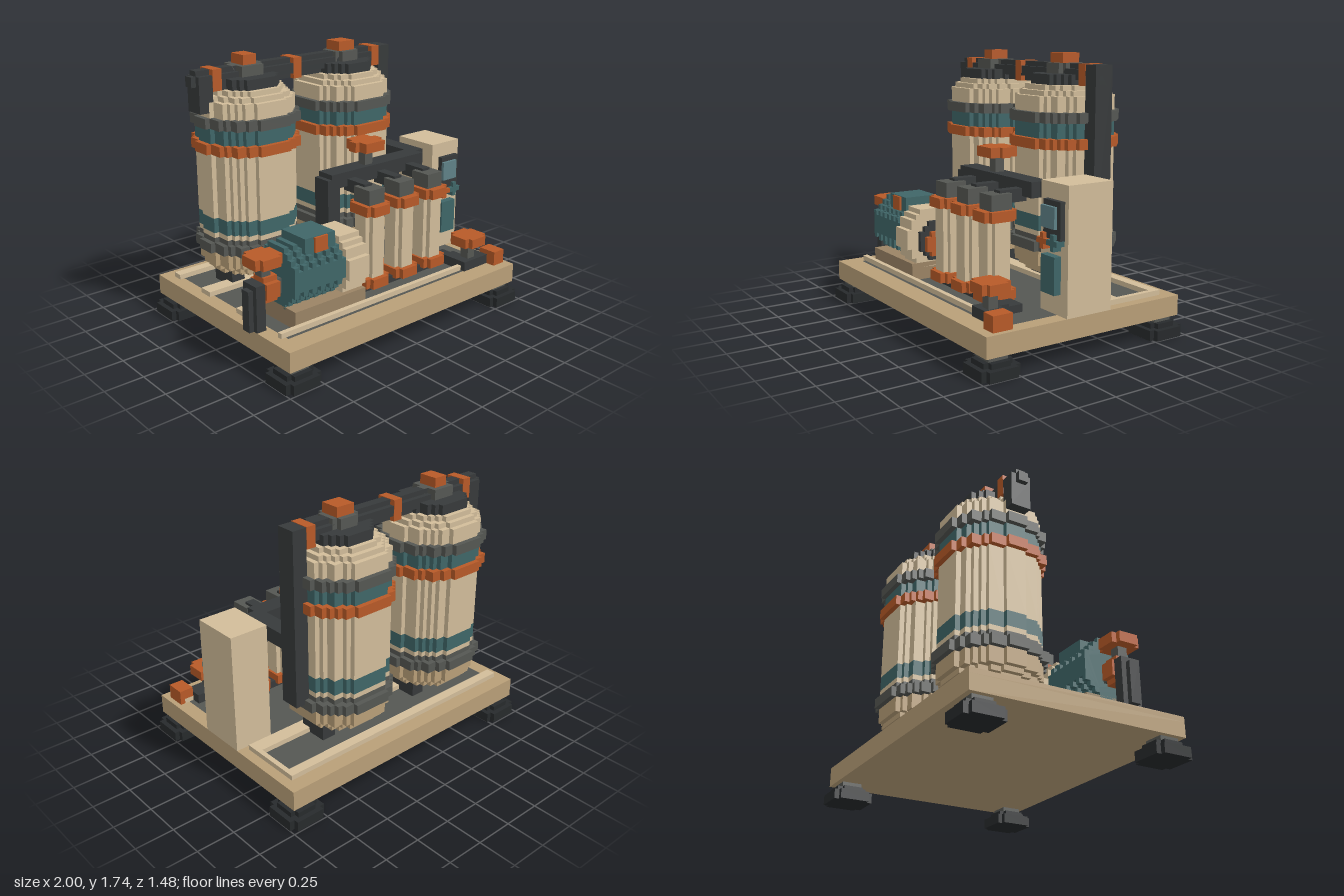
import * as THREE from 'three';

// All sizes are in blocks; the whole model is scaled at the end.
const BLOCK = 2 / 62;
const TAN = 0xd2bd9a, FRAME = 0xb99f78, DARK = 0x373a3b, GREY = 0x555753;
const ORANGE = 0xb85a28, TEAL = 0x3f6668, FOOT = 0x272a2c, GLASS = 0x5f8288;

const materials = {};
const paint = (color) => (materials[color] ??= new THREE.MeshStandardMaterial({ color }));

function group(parent, name) {
  const g = new THREE.Group();
  g.name = name;
  parent.add(g);
  return g;
}

// Box given by its two extremes on each axis
function box(parent, name, color, [x0, x1], [y0, y1], [z0, z1]) {
  const mesh = new THREE.Mesh(new THREE.BoxGeometry(x1 - x0, y1 - y0, z1 - z0), paint(color));
  mesh.position.set((x0 + x1) / 2, (y0 + y1) / 2, (z0 + z1) / 2);
  mesh.name = name;
  parent.add(mesh);
  return mesh;
}

// Half widths of the rows of a blocky disc; odd makes it one block wider across
function discRows(d, odd = 0) {
  const r = d / 2 + 0.3;
  return Array.from({ length: d }, (_, i) => {
    const c = i + 0.5 - d / 2, s = Math.sqrt(r * r - c * c);
    return odd ? Math.floor(s) + 0.5 : Math.floor(s + 0.5);
  });
}

// Half widths of the rows of a rectangle with one block cut from each corner
const plateRows = (w, d) =>
  Array.from({ length: d }, (_, i) => (i === 0 || i === d - 1 ? w / 2 - 1 : w / 2));

// Stepped outline, extruded along y (upright) or along x
function prism(parent, name, color, rows, [x, y, z], length, axis = 'y') {
  const right = [];
  rows.forEach((h, i) => {
    const t = i - rows.length / 2;
    if (h !== rows[i - 1]) {
      if (i) right.push([rows[i - 1], t]);
      right.push([h, t]);
    }
  });
  right.push([rows[rows.length - 1], rows.length / 2]);
  const left = right.map(([h, t]) => [-h, t]).reverse();
  const shape = new THREE.Shape([...right, ...left].map(([a, b]) => new THREE.Vector2(a, b)));
  const geometry = new THREE.ExtrudeGeometry(shape, { depth: length, bevelEnabled: false });
  if (axis === 'y') geometry.rotateX(-Math.PI / 2);
  else geometry.rotateY(Math.PI / 2);
  const mesh = new THREE.Mesh(geometry, paint(color));
  mesh.position.set(x, y, z);
  mesh.name = name;
  parent.add(mesh);
  return mesh;
}

function buildSkid(root) {
  const skid = group(root, 'skid');
  box(skid, 'basePlate', FRAME, [-30, 30], [4, 7], [-22, 22]);
  box(skid, 'deck', GREY, [-27, 27], [7, 8], [-17.5, 17.7]);
  for (const s of [-1, 1]) {
    box(skid, 'frameSide', FRAME, [s * 28.5 - 1.5, s * 28.5 + 1.5], [7, 8], [-22, 22]);
    box(skid, 'frameEnd', FRAME, [-27, 27], [7, 8], s > 0 ? [17.7, 22] : [-22, -17.5]);
    for (const t of [-1, 1]) {
      const foot = group(skid, 'foot');
      prism(foot, 'footPad', FOOT, plateRows(8, 8), [s * 27, 0, t * 19], 2);
      prism(foot, 'footStep', FOOT, plateRows(6, 6), [s * 27, 2, t * 19], 1);
      box(foot, 'footPost', GREY, [s * 27 - 2, s * 27 + 2], [3, 4], [t * 19 - 2, t * 19 + 2]);
    }
  }
  // raised rails on the deck
  for (const [z0, z1, x1] of [[-19, -17, 28], [-9, -6, 28], [3, 5, -7], [16, 17, 28]])
    box(skid, 'deckRail', TAN, [-28, x1], [8, 9], [z0, z1]);
  box(skid, 'sideRail', TAN, [27, 28], [8, 9], [-17, -9]);
}

function buildTank(root, cx, odd) {
  const tank = group(root, 'tank');
  // name, colour, diameter, bottom, top
  const layers = [
    ['tankBottom', FRAME, 14, 11, 12], ['tankBottom', FRAME, 16, 12, 13],
    ['tankSkirt', FRAME, 18, 13, 16], ['lowerRing', GREY, 20, 16, 18],
    ['lowerRingTop', GREY, 18, 18, 19], ['tankBody', TAN, 18, 19, 20],
    ['lowerBand', TEAL, 18, 20, 23], ['tankBody', TAN, 18, 23, 36],
    ['orangeRing', ORANGE, 20, 36, 38], ['upperBand', TEAL, 18, 38, 41],
    ['upperRing', GREY, 20, 41, 43], ['tankShoulder', TAN, 18, 43, 46],
    ['dome', TAN, 16, 46, 47], ['dome', TAN, 14, 47, 48],
    ['cap', DARK, 12, 48, 50], ['capCollar', GREY, 6, 50, 52.05],
  ];
  for (const [name, color, d, y0, y1] of layers)
    prism(tank, name, color, discRows(d, odd), [cx, y0, -10], y1 - y0);
  const w = odd ? 1.5 : 2;
  box(tank, 'topPlug', ORANGE, [cx - w, cx + w], [51, 54], [-12, -8]);
  for (const s of [-1, 1])
    box(tank, 'tankLeg', DARK, [cx + s * 5 - 1.5, cx + s * 5 + 1.5], [8, 12], [-13, -7]);
}

function buildPipes(root) {
  const pipes = group(root, 'pipes');
  const round = discRows(4).map((h, i) => (i % 3 ? 2 : 1));
  prism(pipes, 'topManifold', DARK, round, [-27, 50, -10], 48, 'x');
  box(pipes, 'manifoldEnd', DARK, [-28, -27], [49, 51], [-11, -9]);
  box(pipes, 'leftDrop', DARK, [-27, -24], [44, 50], [-12, -8]);
  box(pipes, 'rightDrop', DARK, [18, 21], [17, 52], [-12, -8]);
  for (const x of [-24, -5, 16])
    box(pipes, 'pipeCollar', ORANGE, [x, x + 2], [47.95, 52.1], [-12.1, -7.9]);
  // header feeding the filters
  box(pipes, 'linkPipe', DARK, [17.5, 21], [28, 31], [-8, 3]);
  box(pipes, 'header', DARK, [-6, 19], [28, 31], [1, 5]);
  box(pipes, 'headerDrop', DARK, [-7, -4], [13, 30], [1, 5]);
  box(pipes, 'pumpLink', DARK, [-7, -4], [13, 17], [5, 9]);
}

function buildWheel(root, rows, [x, y, z], stemBottom) {
  const valve = group(root, 'valve');
  prism(valve, 'handwheel', ORANGE, rows, [x, y, z], 2);
  box(valve, 'stem', GREY, [x - 1, x + 1], [stemBottom, y], [z - 1, z + 1]);
}

function buildFilter(root, cx) {
  const filter = group(root, 'filter');
  const ring = plateRows(6, 7), z = 10.5;
  prism(filter, 'bottomRing', ORANGE, ring, [cx, 9, z], 2);
  prism(filter, 'filterBody', TAN, plateRows(5, 5), [cx, 11, z], 13);
  prism(filter, 'topRing', ORANGE, ring, [cx, 24, z], 2);
  box(filter, 'filterHead', GREY, [cx - 2, cx + 2], [26, 29], [8, 12.5]);
  box(filter, 'filterStub', DARK, [cx - 1, cx + 1], [27, 29.5], [4, 10]);
}

function buildPump(root) {
  const pump = group(root, 'pump'), y = 17, z = 10.5;
  box(pump, 'pumpBase', 0x9b8465, [-24, -7], [8, 11.5], [5, 16]);
  // finned motor
  prism(pump, 'motorCore', TEAL, discRows(10, 1), [-24, y, z], 12, 'x');
  for (let i = 0; i < 6; i++)
    prism(pump, 'motorFin', TEAL, discRows(12, 0).map((h) => h - 0.5), [-24 + i * 2, y, z], 1, 'x');
  box(pump, 'terminalBox', TEAL, [-20, -13], [21, 24], [7, 14]);
  box(pump, 'terminalPlug', ORANGE, [-18, -15], [21, 23.9], [13, 14.5]);
  prism(pump, 'pumpHousing', TAN, discRows(12, 1), [-12, 16.5, z], 5, 'x');
  prism(pump, 'outletRing', DARK, discRows(8), [-7, 16, z], 1, 'x');
  prism(pump, 'outletFlange', ORANGE, discRows(5, 0), [-6, 15.5, z], 1, 'x');
  // intake on the outer end
  prism(pump, 'intakeFlange', ORANGE, discRows(5, 1), [-28, 15.5, z], 3, 'x');
  box(pump, 'intakeNeck', GREY, [-25, -24], [14, 17], [9, 12]);
  box(pump, 'intakePipe', DARK, [-30, -28], [8, 17], [8.5, 12.5]);
  box(pump, 'intakePipeEdge', DARK, [-31, -30], [8, 16], [9.5, 11.5]);
  buildWheel(pump, discRows(6, 0), [-27, 20, z], 17);
}

function buildCabinet(root) {
  const cabinet = group(root, 'controlCabinet');
  box(cabinet, 'cabinetBody', TAN, [22, 30], [8, 32], [-5, 5]);
  box(cabinet, 'displayPanel', DARK, [24, 29], [22, 29], [5, 6]);
  box(cabinet, 'screen', GLASS, [24, 28], [24, 28], [6, 6.6]);
  box(cabinet, 'lowerPanel', TEAL, [24, 28], [12, 19], [5, 6.5]);
  for (const [x, color] of [[24.5, ORANGE], [27.5, TEAL]]) {
    box(cabinet, 'knob', color, [x - 1.5, x + 1.5], [21, 22], [5, 6.8]);
    box(cabinet, 'knob', color, [x - 0.5, x + 0.5], [20, 23], [5, 6.75]);
  }
}

function buildDrain(root) {
  const drain = group(root, 'drain');
  box(drain, 'drainPipe', DARK, [-4, 22], [8, 9.5], [9, 12]);
  box(drain, 'drainElbow', DARK, [19, 22], [8, 10], [12, 15]);
  box(drain, 'drainValveBody', DARK, [19, 26], [8, 10], [14, 18]);
  box(drain, 'drainOutlet', ORANGE, [26, 29], [8, 11], [16, 20]);
  buildWheel(drain, discRows(6), [22, 13, 16], 10);
}

export function createModel() {
  const model = new THREE.Group();
  model.name = 'filterSkid';
  const root = group(model, 'equipment');
  root.scale.setScalar(BLOCK);
  buildSkid(root);
  buildTank(root, -15.5, 1);
  buildTank(root, 9, 0);
  buildPipes(root);
  for (const x of [-1, 7, 15]) buildFilter(root, x);
  buildWheel(root, discRows(6, 1), [4.5, 34, 3], 31);
  buildPump(root);
  buildCabinet(root);
  buildDrain(root);
  return model;
}
